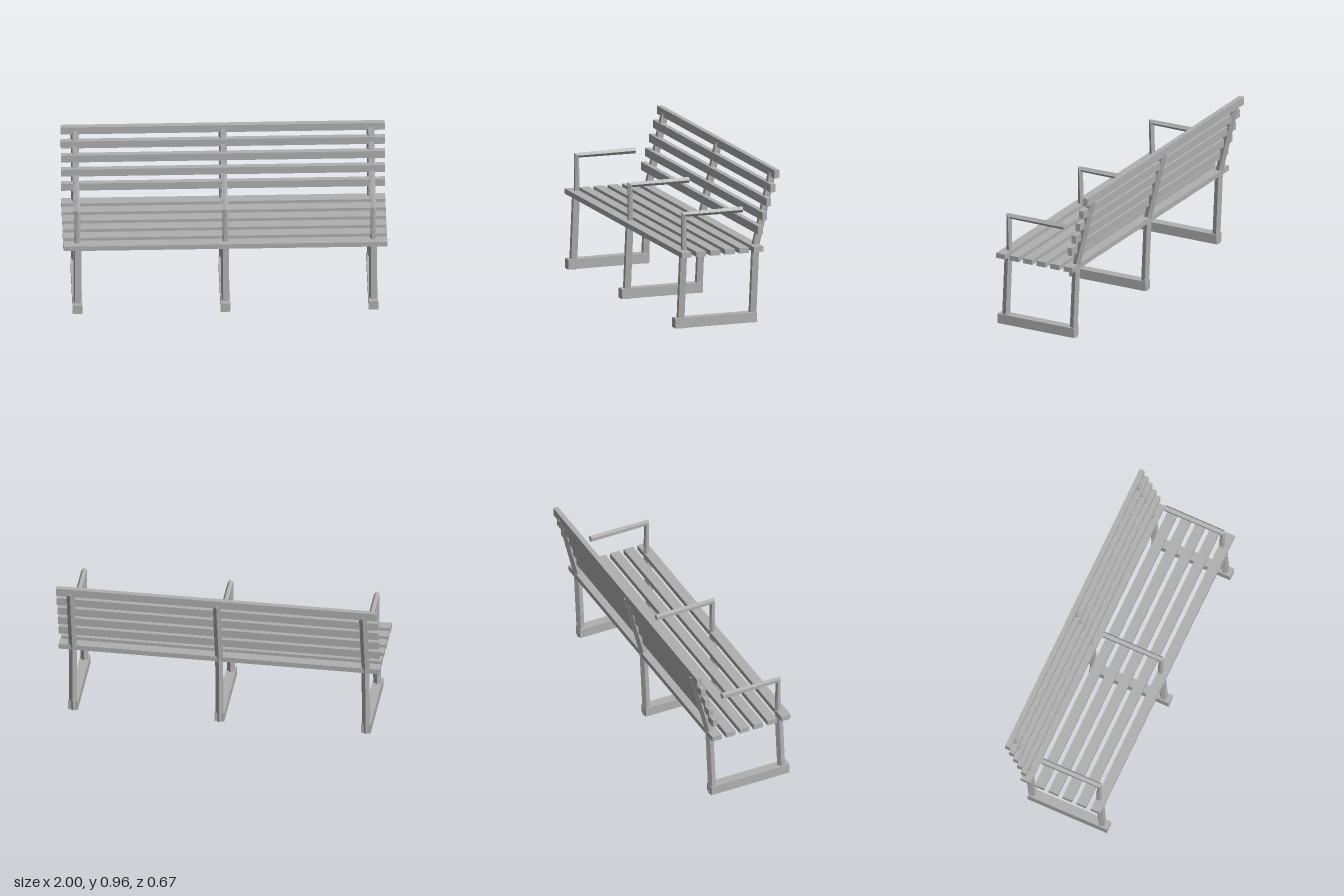
import * as THREE from 'three';

const SIDES = 5;

// Five-sided bar lofted through rings: [y, z, radius, outward dy, outward dz, twist]
function bar(rings) {
  const pts = rings.map(([y, z, r, uy, uz, twist = 0]) =>
    Array.from({ length: SIDES }, (_, i) => {
      const a = THREE.MathUtils.degToRad(54 + 72 * i + twist);
      const h = r * Math.sin(a);
      return [r * Math.cos(a), y + h * uy, z + h * uz];
    }));
  const out = [];
  const tri = (a, b, c) => out.push(...a, ...b, ...c);
  for (let j = 0; j < pts.length - 1; j++) {
    for (let i = 0; i < SIDES; i++) {
      const k = (i + 1) % SIDES;
      tri(pts[j][i], pts[j + 1][i], pts[j][k]);
      tri(pts[j][k], pts[j + 1][i], pts[j + 1][k]);
    }
  }
  // End caps
  const first = pts[0], last = pts[pts.length - 1];
  for (let i = 1; i < SIDES - 1; i++) {
    tri(first[0], first[i], first[i + 1]);
    tri(last[0], last[i + 1], last[i]);
  }
  const g = new THREE.BufferGeometry();
  g.setAttribute('position', new THREE.Float32BufferAttribute(out, 3));
  g.computeVertexNormals();
  return g;
}

export function createModel() {
  const bench = new THREE.Group();
  bench.name = 'bench';
  const grey = new THREE.MeshStandardMaterial({ color: 0xb0b0b0 });
  grey.name = 'grey';

  const add = (parent, name, geometry, x = 0, y = 0, z = 0) => {
    const mesh = new THREE.Mesh(geometry, grey);
    mesh.name = name;
    mesh.position.set(x, y, z);
    parent.add(mesh);
  };

  // Seat slats
  const seatSlat = new THREE.BoxGeometry(2, 0.033, 0.064);
  for (let i = 0; i < 6; i++) {
    add(bench, 'seatSlat', seatSlat, 0, 0.474, 0.285 - 0.095 * i);
  }

  // Backrest slats, stepping up and back
  const backSlat = new THREE.BoxGeometry(2, 0.051, 0.032);
  for (let i = 0; i < 5; i++) {
    add(bench, 'backSlat', backSlat, 0, 0.593 + 0.0865 * i, -0.203 - 0.027 * i);
  }

  // Frame parts shared by the three supports
  const foot = new THREE.BoxGeometry(0.06, 0.062, 0.538);
  const frontLeg = bar([
    [0, 0.295, 0.026, 0, 1],
    [0.478, 0.275, 0.026, 0, 1],
  ]);
  const backLeg = bar([
    [0, -0.181, 0.026, 0, 1],
    [0.48, -0.202, 0.026, 0, 1],
    [0.933, -0.311, 0.026, 0.23, 0.97],
  ]);
  // Armrest: upright post with a mitred corner, twisting into the arm
  const armrest = bar([
    [0.47, 0.27, 0.019, 0, 1],
    [0.715, 0.273, 0.019, 0.85, 0.85, 18],
    [0.716, -0.115, 0.02, 1, 0, 18],
  ]);

  for (const x of [-0.913, 0, 0.913]) {
    const support = new THREE.Group();
    support.name = 'support';
    support.position.x = x;
    add(support, 'foot', foot, 0, 0.034, 0.069);
    add(support, 'frontLeg', frontLeg);
    add(support, 'backLeg', backLeg);
    add(support, 'armrest', armrest);
    bench.add(support);
  }
  return bench;
}
